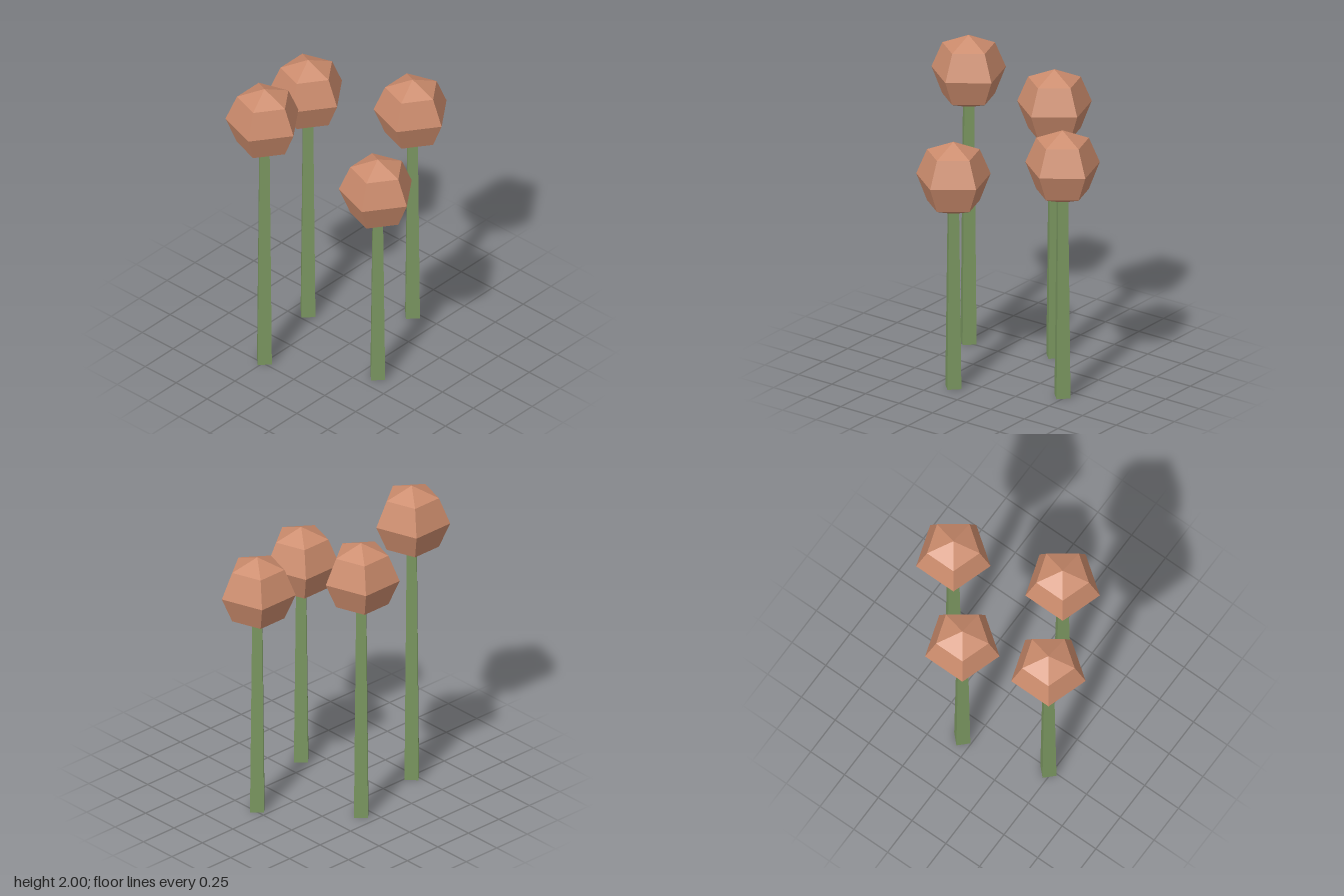
import * as THREE from 'three';

const BALL_RADIUS = 0.235;

// x, z and height of each ball's centre
const PLANTS = [
  [-0.475, -0.26, 1.765],
  [-0.138, 0.352, 1.36],
  [0.065, -0.395, 1.63],
  [0.475, 0.08, 1.495],
];

export function createModel() {
  const model = new THREE.Group();
  model.name = 'ballFlowers';

  const green = new THREE.MeshStandardMaterial({ color: 0x7a9660, flatShading: true });
  const clay = new THREE.MeshStandardMaterial({ color: 0xcb8b6c, flatShading: true });

  // Five-sided ball with one corner facing the front
  const ballGeometry = new THREE.SphereGeometry(BALL_RADIUS, 5, 4, Math.PI / 2);

  PLANTS.forEach(([x, z, height], i) => {
    const plant = new THREE.Group();
    plant.name = `flower${i + 1}`;
    plant.position.set(x, 0, z);

    // Tapered square stem, corner to the front, ending inside the ball
    const stem = new THREE.Mesh(new THREE.CylinderGeometry(0.04, 0.06, height, 4), green);
    stem.name = 'stem';
    stem.position.y = height / 2;

    const ball = new THREE.Mesh(ballGeometry, clay);
    ball.name = 'flowerHead';
    ball.position.y = height;

    plant.add(stem, ball);
    model.add(plant);
  });

  return model;
}
